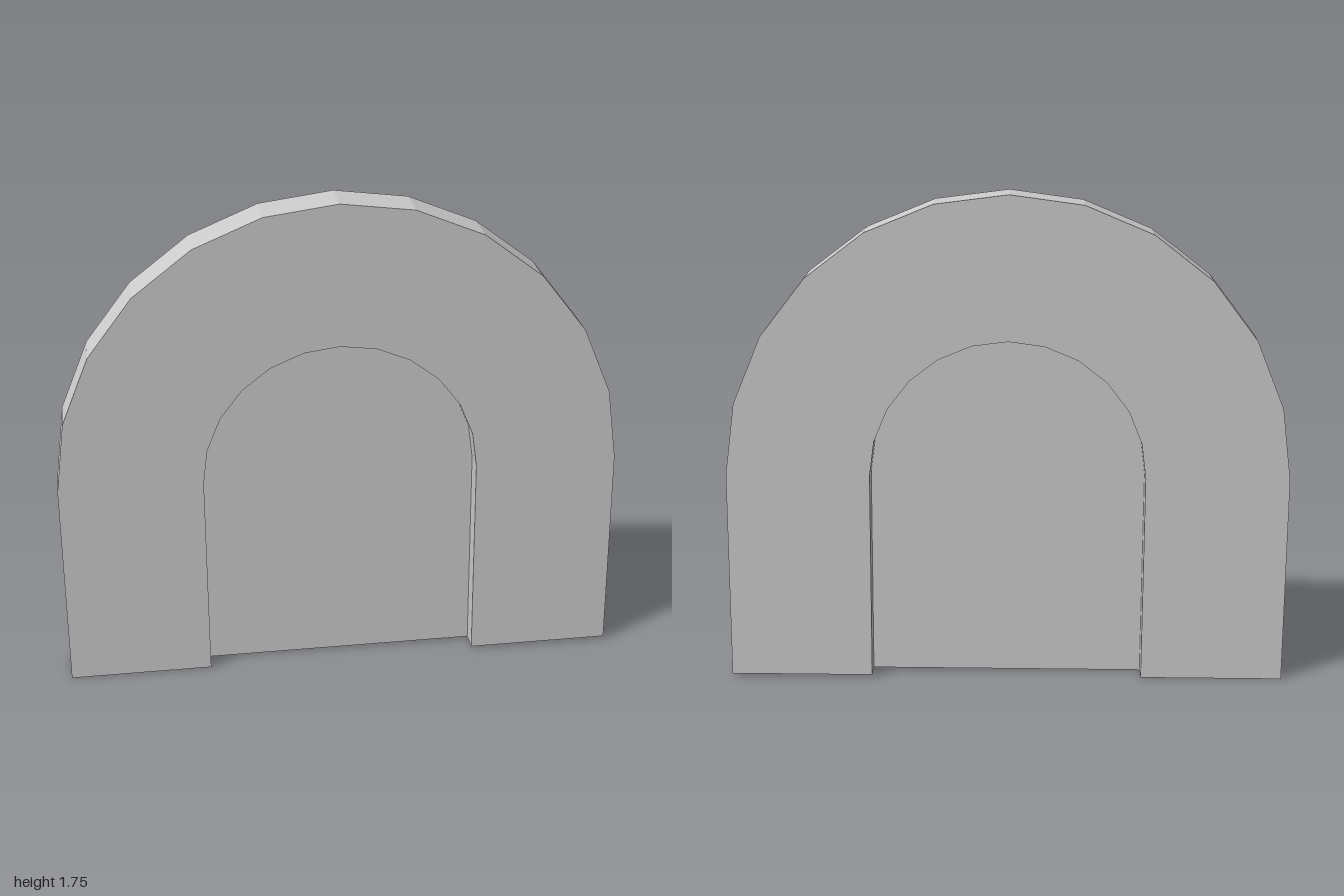
import * as THREE from 'three';

const LEG = 0.75, OUTER = 0.995, INNER = 0.487, DEPTH = 0.16, PANEL = 0.012, SEGMENTS = 12;

// Points of a faceted half circle on top of the legs, right to left
function arc(radius) {
  return Array.from({ length: SEGMENTS + 1 }, (_, i) => {
    const a = (Math.PI * i) / SEGMENTS;
    return new THREE.Vector2(radius * Math.cos(a), LEG + radius * Math.sin(a));
  });
}

// Closed arch outline standing on y = 0
function outline(radius) {
  return [new THREE.Vector2(radius, 0), ...arc(radius), new THREE.Vector2(-radius, 0)];
}

function slab(name, points, depth, material) {
  const geometry = new THREE.ExtrudeGeometry(new THREE.Shape(points), { depth, bevelEnabled: false });
  geometry.translate(0, 0, -depth / 2);
  const mesh = new THREE.Mesh(geometry, material);
  mesh.name = name;
  return mesh;
}

export function createModel() {
  const material = new THREE.MeshStandardMaterial({ color: 0xcccccc, flatShading: true });
  const group = new THREE.Group();
  group.name = 'archedDoorway';

  // Thick arch frame, open at the bottom
  group.add(slab('archFrame', [...outline(OUTER), ...outline(INNER).reverse()], DEPTH, material));

  // Thin panel filling the opening at mid depth
  group.add(slab('doorPanel', outline(INNER), PANEL, material));

  // The whole arch leans very slightly to one side
  const tilt = 0.006;
  group.rotation.z = tilt;
  group.position.set(0.0022, OUTER * Math.sin(tilt), 0);
  return group;
}
